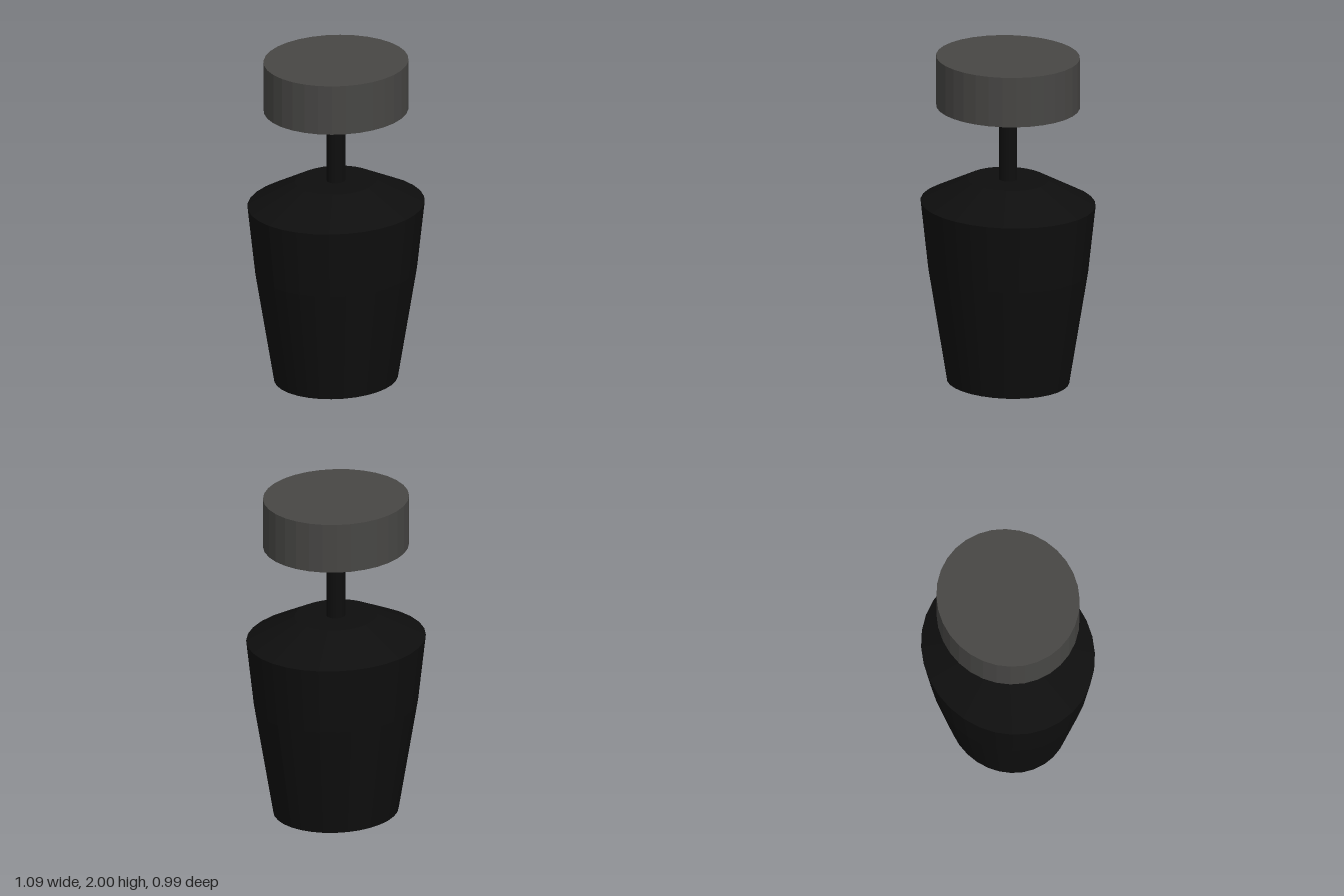
import * as THREE from 'three';

const SIDES = 32;

// Turned part with an oval footprint: profile of [x radius, y] points, depth scales z
function turned(name, profile, depth, color, sides = SIDES) {
  const points = profile.map(([r, y]) => new THREE.Vector2(r, y));
  const geometry = new THREE.LatheGeometry(points, sides);
  geometry.scale(1, 1, depth);
  const material = new THREE.MeshStandardMaterial({ color, flatShading: true });
  const mesh = new THREE.Mesh(geometry, material);
  mesh.name = name;
  return mesh;
}

export function createModel() {
  const model = new THREE.Group();
  model.name = 'plungerKnob';
  const black = 0x0e0e0e;
  const grey = 0x474644;

  // Tapered body with a sloped shoulder
  model.add(turned('body', [
    [0, 0], [0.382, 0], [0.5, 0.69], [0.547, 1.1], [0.253, 1.245], [0, 1.245],
  ], 0.909, black));

  // Thin stem, ending inside the hollow cap
  model.add(turned('stem', [
    [0, 1.22], [0.057, 1.22], [0.057, 1.82], [0, 1.82],
  ], 0.92, black));

  // Cap, hollow from below with a slightly stepped inner wall
  model.add(turned('cap', [
    [0, 1.96], [0.368, 1.96], [0.368, 1.78], [0.373, 1.78], [0.373, 1.695],
    [0.44, 1.695], [0.44, 2], [0, 2],
  ], 0.943, grey));

  return model;
}
